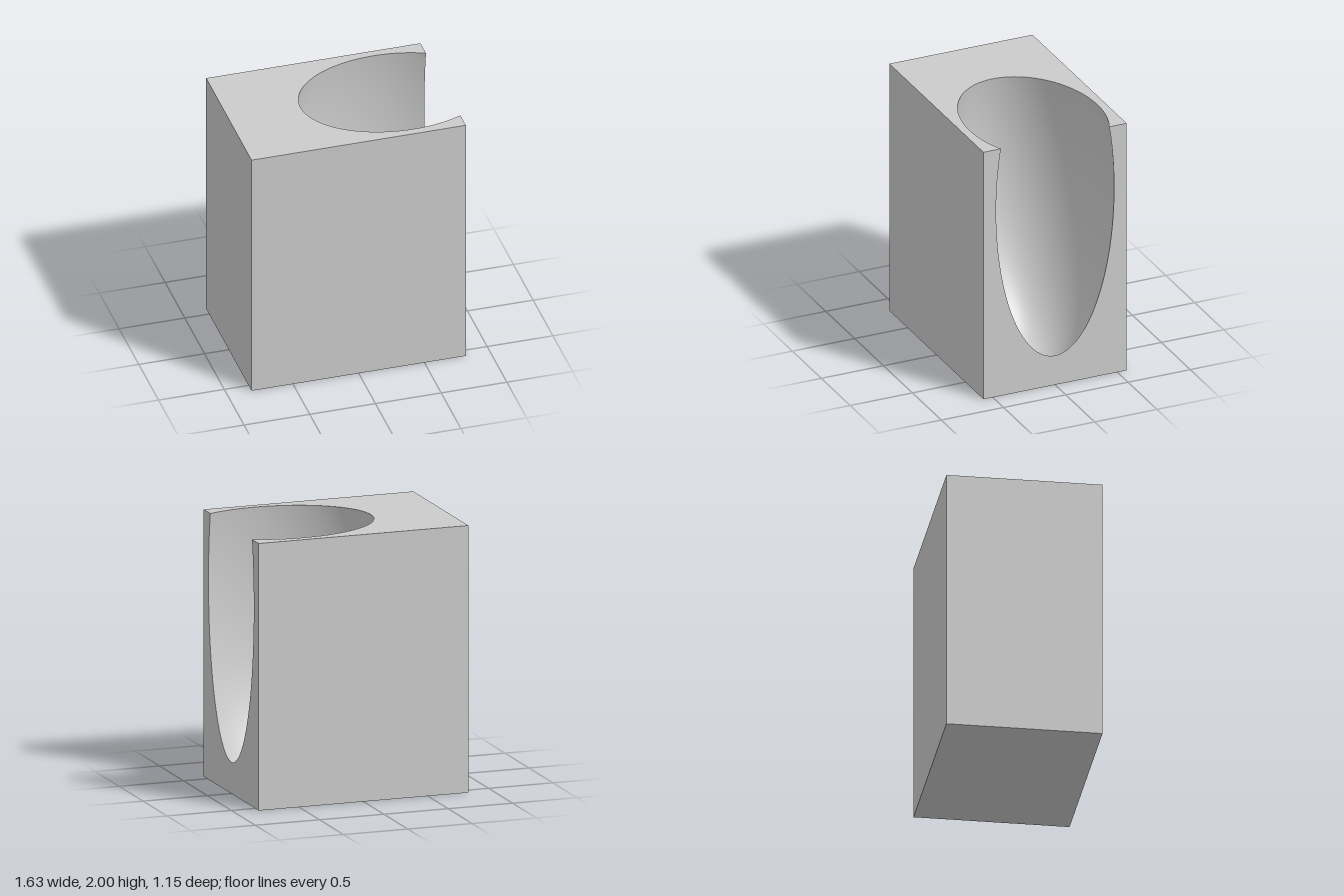
import * as THREE from 'three';

const W = 0.815, H = 2, D = 0.575;                    // half width, height, half depth
const C = { x: 0.44, y: 1.5 };                        // centre of the ellipsoidal hollow
const R = { x: 0.756, y: 1.454, z: 0.546 };           // its radii
const COLS = 96, LOW = 40, HIGH = 56;

// Latitudes: where the side wall starts to cut the hollow, and where the top cuts it
const cut = (W - C.x) / R.x;
const latBreak = -Math.acos(cut), latTop = Math.asin((H - C.y) / R.y);

// Row 0..LOW is the closed bowl, LOW..LOW+HIGH is open at the side wall
function latitude(row) {
  if (row <= LOW) return THREE.MathUtils.lerp(-Math.PI / 2, latBreak, row / LOW);
  return THREE.MathUtils.lerp(latBreak, latTop, ((row - LOW) / HIGH) ** 2);
}

function hollowPoint(col, row) {
  const t = latitude(row), c = Math.cos(t);
  const start = row > LOW ? Math.acos(Math.min(1, cut / c)) : 0;
  const a = THREE.MathUtils.lerp(start, 2 * Math.PI - start, col / COLS);
  return new THREE.Vector3(C.x + R.x * c * Math.cos(a), C.y + R.y * Math.sin(t), R.z * c * Math.sin(a));
}

// Smooth inner surface, facing the middle of the hollow
function hollowGeometry() {
  const rows = LOW + HIGH;
  const g = new THREE.PlaneGeometry(1, 1, COLS, rows);
  for (let j = 0, i = 0; j <= rows; j++) {
    for (let k = 0; k <= COLS; k++, i++) {
      const p = hollowPoint(k, rows - j);
      const n = new THREE.Vector3((C.x - p.x) / R.x ** 2, (C.y - p.y) / R.y ** 2, -p.z / R.z ** 2).normalize();
      g.attributes.position.setXYZ(i, p.x, p.y, p.z);
      g.attributes.normal.setXYZ(i, n.x, n.y, n.z);
    }
  }
  return g;
}

export function createModel() {
  const group = new THREE.Group();
  const material = new THREE.MeshStandardMaterial({ color: 0xcccccc });
  const add = (name, geometry) => {
    const mesh = new THREE.Mesh(geometry, material);
    mesh.name = name;
    group.add(mesh);
  };
  const v = (x, y) => new THREE.Vector2(x, y);
  const face = (points) => new THREE.ShapeGeometry(new THREE.Shape(points));

  // Plain faces of the block
  add('frontFace', new THREE.PlaneGeometry(2 * W, H).translate(0, H / 2, D));
  add('backFace', new THREE.PlaneGeometry(2 * W, H).rotateY(Math.PI).translate(0, H / 2, -D));
  add('closedSideFace', new THREE.PlaneGeometry(2 * D, H).rotateY(-Math.PI / 2).translate(-W, H / 2, 0));
  add('bottomFace', new THREE.PlaneGeometry(2 * W, 2 * D).rotateX(Math.PI / 2));

  // Top face, bounded by the rim of the hollow
  const rim = [];
  for (let k = 0; k <= COLS; k++) {
    const p = hollowPoint(k, LOW + HIGH);
    rim.push(v(p.x, -p.z));
  }
  add('topFace', face([v(W, -D), ...rim, v(W, D), v(-W, D), v(-W, -D)])
    .rotateX(-Math.PI / 2).translate(0, H, 0));

  // Open side face, bounded by the notch the hollow leaves in it
  const notch = [];
  for (let r = LOW + HIGH; r > LOW; r--) {
    const p = hollowPoint(0, r);
    notch.push(v(-p.z, p.y));
  }
  const mirrored = notch.map((p) => v(-p.x, p.y)).reverse();
  const lowest = v(0, hollowPoint(0, LOW).y);
  add('openSideFace', face([v(-D, 0), v(-D, H), ...notch, lowest, ...mirrored, v(D, H), v(D, 0)])
    .rotateY(Math.PI / 2).translate(W, 0, 0));

  add('hollow', hollowGeometry());
  return group;
}
